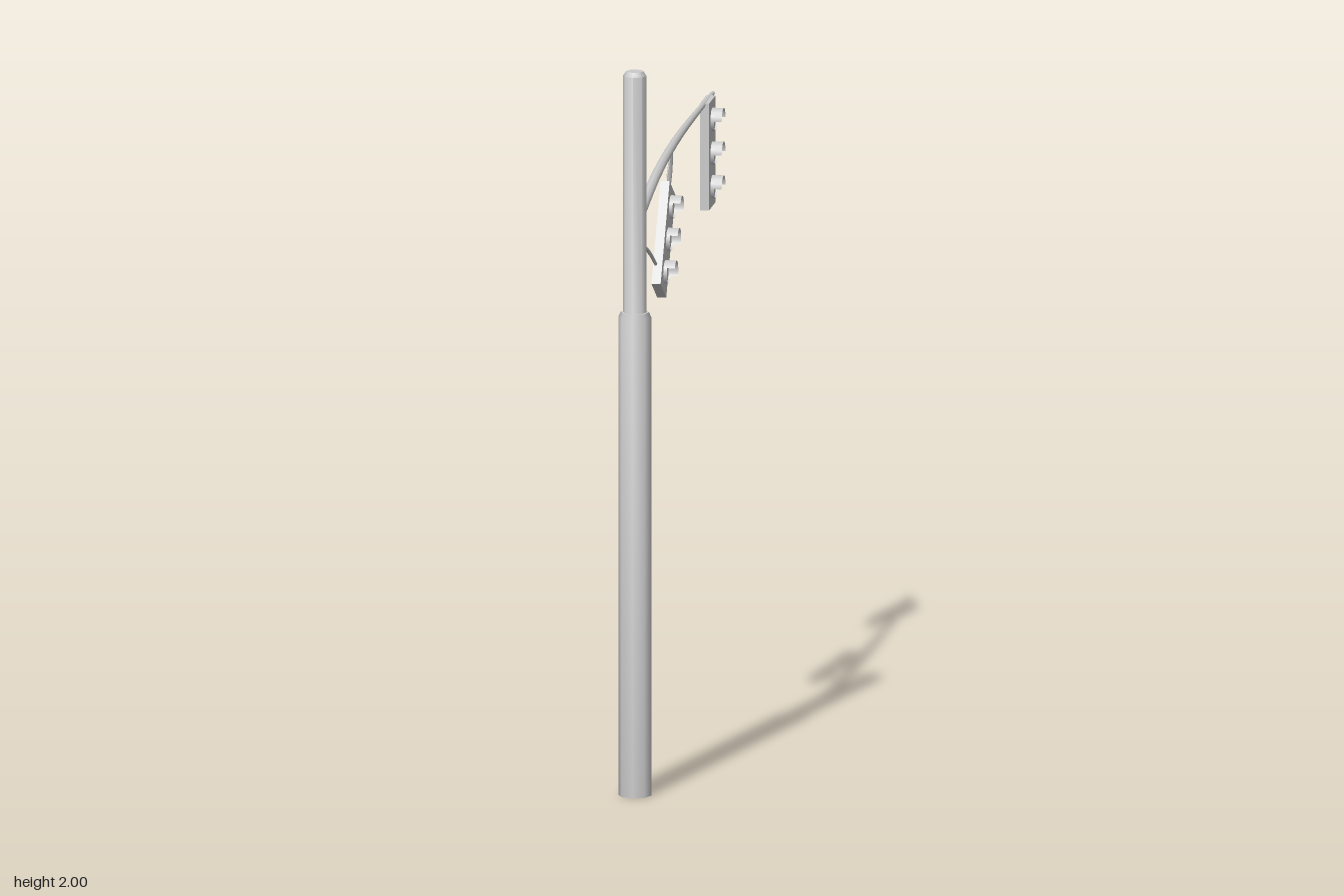
import * as THREE from 'three';
import { toCreasedNormals } from 'three/addons/utils/BufferGeometryUtils.js';

const grey = new THREE.MeshStandardMaterial({ color: 0xcccccc });
const greyOpen = new THREE.MeshStandardMaterial({ color: 0xcccccc, side: THREE.DoubleSide });

function part(name, geometry, material = grey) {
  const mesh = new THREE.Mesh(geometry, material);
  mesh.name = name;
  return mesh;
}

// Tube through [x, y, z] points whose radius runs from r0 to r1
function taperedTube(name, points, r0, r1, segments, sides) {
  const curve = new THREE.CatmullRomCurve3(points.map(p => new THREE.Vector3(...p)));
  const geo = new THREE.TubeGeometry(curve, segments, 1, sides);
  const pos = geo.attributes.position;
  const v = new THREE.Vector3();
  for (let i = 0; i <= segments; i++) {
    const t = i / segments;
    const centre = curve.getPointAt(t);
    for (let j = 0; j <= sides; j++) {
      const k = i * (sides + 1) + j;
      v.fromBufferAttribute(pos, k).sub(centre).multiplyScalar(r0 + (r1 - r0) * t).add(centre);
      pos.setXYZ(k, v.x, v.y, v.z);
    }
  }
  return part(name, geo, greyOpen);
}

// Three-lamp signal head, centred on its box and facing +x
function signalHead(name) {
  const head = new THREE.Group();
  head.name = name;
  const depth = 0.025, r = 0.032;
  head.add(part('housing', new THREE.BoxGeometry(depth, 0.295, 0.111)));
  for (const y of [0.093, 0, -0.093]) {
    const alongX = (geo, x) => geo.rotateZ(-Math.PI / 2).translate(depth / 2 + x, y, 0);
    head.add(part('lens', alongX(new THREE.CylinderGeometry(0.029, 0.029, 0.005, 12), 0.0025)));
    head.add(part('lensRim', alongX(new THREE.CylinderGeometry(r, r, 0.01, 12, 1, true), 0.005), greyOpen));
    head.add(part('hood', alongX(
      new THREE.CylinderGeometry(r, r, 0.031, 8, 1, true, Math.PI, Math.PI), 0.0155), greyOpen));
  }
  return head;
}

export function createModel() {
  const model = new THREE.Group();
  model.name = 'trafficLightPole';

  // Stepped octagonal pole with bevelled shoulder and top
  const profile = [
    [0, 0], [0.045, 0], [0.045, 1.322], [0.039, 1.335], [0.032, 1.335],
    [0.032, 1.988], [0.024, 2], [0, 2],
  ].map(p => new THREE.Vector2(...p));
  const pole = part('pole', toCreasedNormals(new THREE.LatheGeometry(profile, 8), 0.9));
  pole.position.z = 0.63;
  model.add(pole);

  // Curved arm narrowing towards its tip
  model.add(taperedTube('arm', [
    [0, 1.578, 0.61], [0, 1.637, 0.28], [0, 1.66, 0.04],
    [0, 1.668, -0.2], [0, 1.667, -0.45], [0, 1.665, -0.678],
  ], 0.017, 0.006, 12, 8));

  // Loose cable end drooping from the pole
  model.add(taperedTube('looseCable', [
    [0, 1.5, 0.61], [0.004, 1.486, 0.496], [0.011, 1.455, 0.438], [0.017, 1.417, 0.385],
  ], 0.006, 0.005, 8, 6));

  // Upright signal at the end of the arm
  const endSignal = signalHead('endSignal');
  endSignal.position.set(0.004, 1.523, -0.57);
  model.add(endSignal);

  // Crooked signal hanging from one strut and a broken wire
  const hangingSignal = signalHead('hangingSignal');
  hangingSignal.position.set(-0.0145, 1.416, 0.062);
  hangingSignal.rotation.x = THREE.MathUtils.degToRad(-31);
  model.add(hangingSignal);
  model.add(taperedTube('hangerStrut', [
    [0, 1.655, 0.026], [-0.004, 1.6, 0.008], [-0.012, 1.54, -0.004],
  ], 0.006, 0.006, 4, 6));
  model.add(taperedTube('brokenWire', [
    [0, 1.655, 0.028], [-0.003, 1.62, 0.036], [-0.006, 1.585, 0.054],
  ], 0.003, 0.002, 4, 6));

  return model;
}
